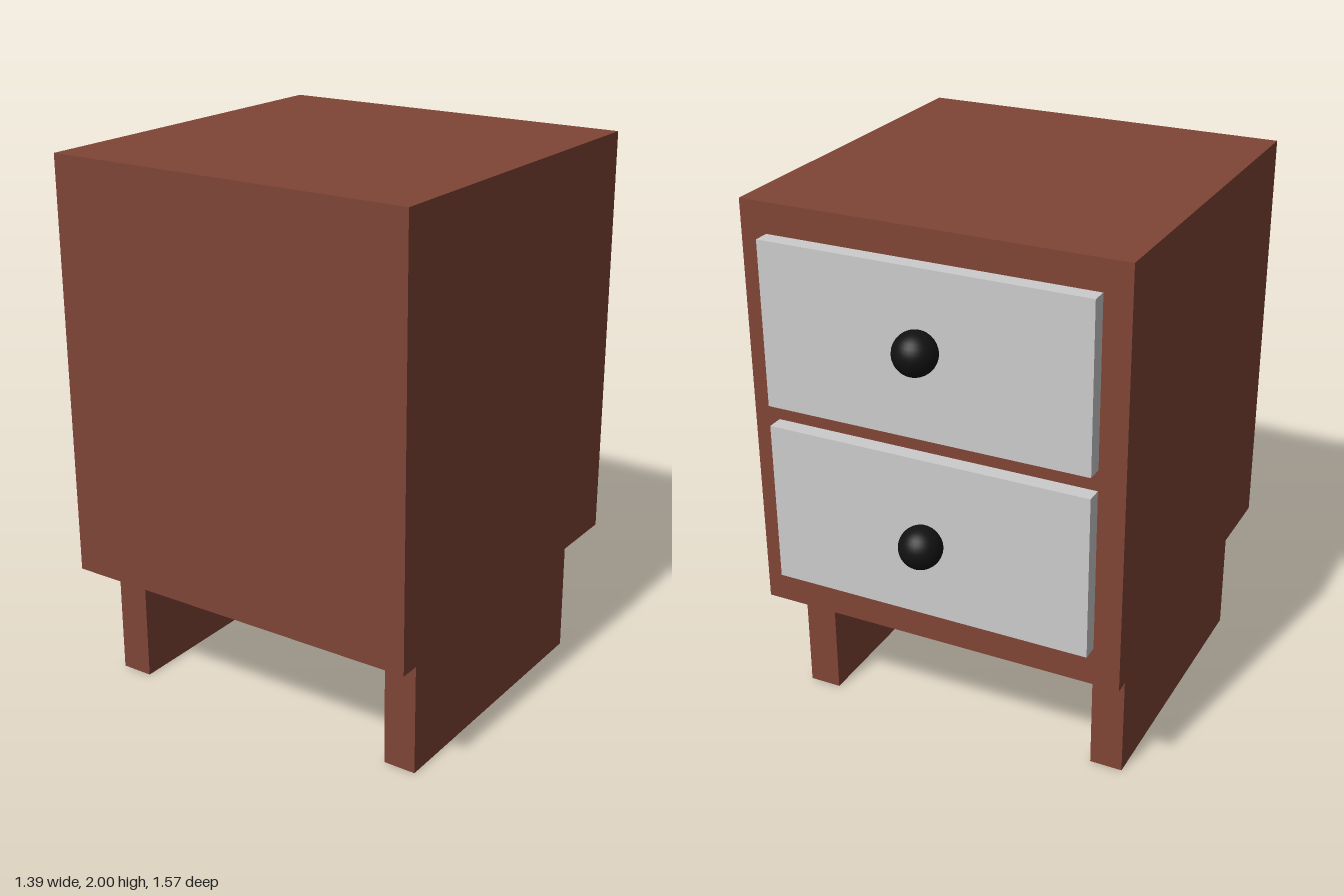
import * as THREE from 'three';

const wood = new THREE.MeshStandardMaterial({ color: 0x7f4536 });
const grey = new THREE.MeshStandardMaterial({ color: 0xcccccc });
const black = new THREE.MeshStandardMaterial({ color: 0x111111 });

// Box given by its minimum and maximum corners
function box(name, min, max, material) {
  const size = max.map((v, i) => v - min[i]);
  const mesh = new THREE.Mesh(new THREE.BoxGeometry(...size), material);
  mesh.position.set(...max.map((v, i) => (v + min[i]) / 2));
  mesh.name = name;
  return mesh;
}

// Drawer front with a round knob, on the -z side
function drawer(name, bottom, knobY) {
  const group = new THREE.Group();
  group.name = name;
  group.add(box('drawerFront', [-0.6, bottom, -0.672], [0.6, bottom + 0.602, -0.6], grey));
  const knob = new THREE.Mesh(new THREE.SphereGeometry(0.077, 32, 16), black);
  knob.position.set(0, knobY, -0.707);
  knob.name = 'knob';
  group.add(knob);
  return group;
}

export function createModel() {
  const model = new THREE.Group();
  model.name = 'nightstand';

  // Cabinet
  model.add(box('cabinet', [-0.697, 0.465, -0.613], [0.697, 2, 0.784], wood));

  // Two plank legs, running front to back
  model.add(box('rightLeg', [-0.656, 0, -0.452], [-0.534, 0.465, 0.63], wood));
  model.add(box('leftLeg', [0.526, 0, -0.452], [0.648, 0.465, 0.63], wood));

  // Drawers
  model.add(drawer('upperDrawer', 1.288, 1.613));
  model.add(drawer('lowerDrawer', 0.61, 0.9));

  return model;
}
